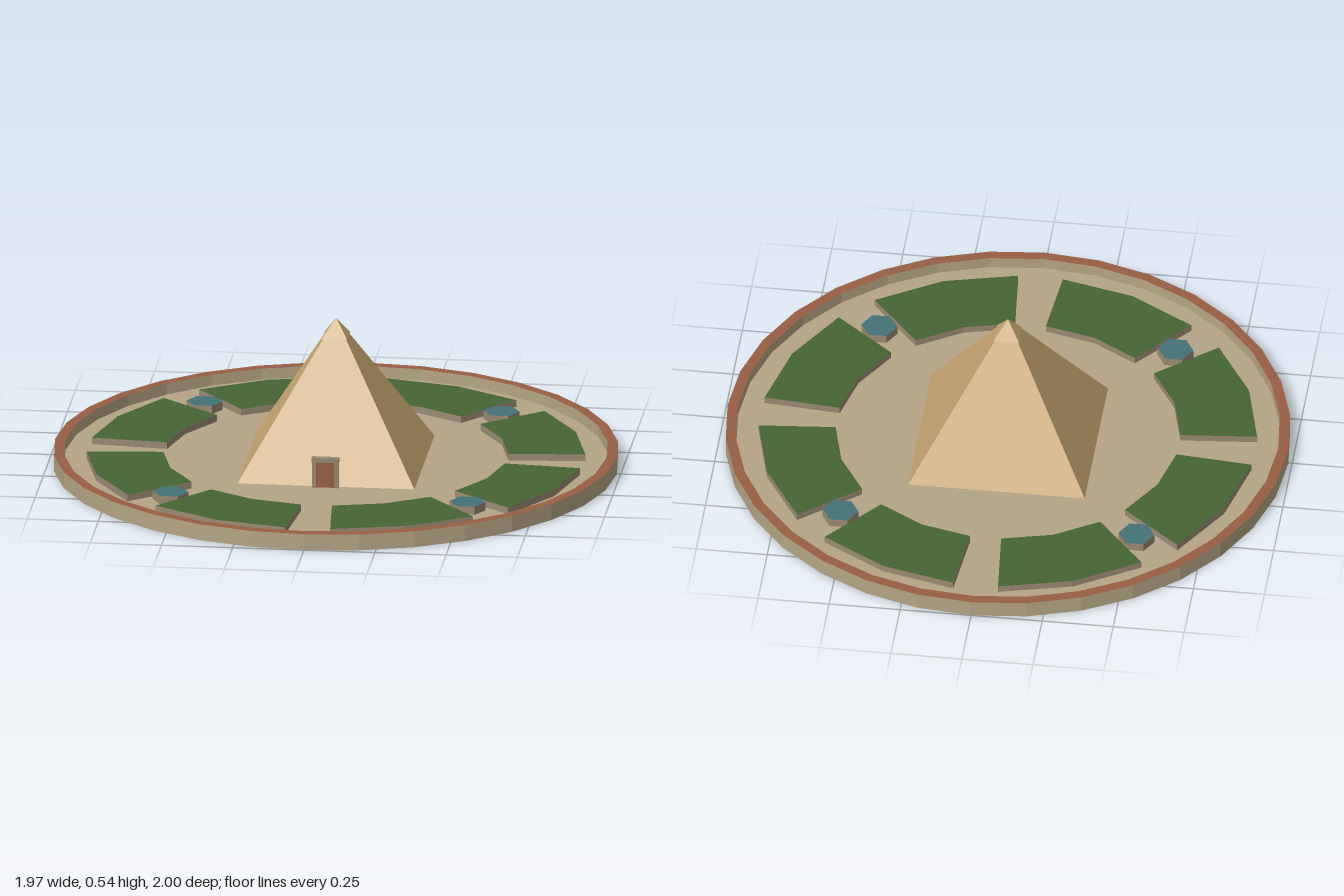
import * as THREE from 'three';

const paint = (name, color) => new THREE.MeshStandardMaterial({ name, color, flatShading: true });

export function createModel() {
  const sand = paint('sandstone', 0xc6a673);
  const wallStone = paint('wall stone', 0xb5a585);
  const paving = paint('paving', 0xb4a388);
  const brick = paint('brick', 0x995f45);
  const grass = paint('grass', 0x456536);
  const water = paint('water', 0x437278);
  const frameStone = paint('frame stone', 0x9c8a74);

  const model = new THREE.Group();
  model.name = 'pyramidGarden';
  model.scale.x = 0.987; // the plaza is very slightly oval

  const add = (name, geometry, material, x = 0, y = 0, z = 0) => {
    const mesh = new THREE.Mesh(geometry, material);
    mesh.name = name;
    mesh.position.set(x, y, z);
    model.add(mesh);
    return mesh;
  };

  const RIM = 0.058, FLOOR = 0.018, INNER = 0.963;

  // Round dish: underside with outer wall, brick coping, inner wall, paved floor
  const ring = (name, points, material) =>
    add(name, new THREE.LatheGeometry(points.map(p => new THREE.Vector2(...p)), 32), material);
  ring('outerWall', [[0, 0], [1, 0], [1, RIM]], wallStone);
  ring('coping', [[1, RIM], [INNER, RIM]], brick);
  ring('innerWall', [[INNER, RIM], [INNER, FLOOR]], wallStone);
  ring('floor', [[INNER, FLOOR], [0, FLOOR]], paving);

  // Square tapered blocks for the pyramid and its capstone
  const taper = (topHalf, bottomHalf, height) =>
    new THREE.CylinderGeometry(topHalf * Math.SQRT2, bottomHalf * Math.SQRT2, height, 4)
      .rotateY(Math.PI / 4).translate(0, height / 2, 0);
  add('pyramid', taper(0.039, 0.316, 0.458), sand, 0, FLOOR - 0.002, 0);
  add('capstone', taper(0, 0.045, 0.065), sand, 0, 0.472, 0);

  // Eight lawn beds: ring sectors, two on each quarter
  const bedShape = start => {
    const shape = new THREE.Shape();
    const point = (r, deg) => {
      const a = THREE.MathUtils.degToRad(deg);
      return new THREE.Vector2(r * Math.cos(a), r * Math.sin(a));
    };
    const angles = [start, start + 17.3, start + 34.6];
    shape.setFromPoints([
      ...angles.map(a => point(0.882, a)),
      ...angles.reverse().map(a => point(0.61, a)),
    ]);
    return shape;
  };
  for (let quarter = 0; quarter < 4; quarter++) {
    for (const start of [5.2, 50.2]) {
      const bed = new THREE.ExtrudeGeometry(bedShape(start + quarter * 90), { depth: 0.024, bevelEnabled: false });
      add('lawnBed', bed.rotateX(-Math.PI / 2), [grass, frameStone], 0, FLOOR, 0);
    }
  }

  // Four hexagonal pools on the diagonals
  for (const sx of [-1, 1]) {
    for (const sz of [-1, 1]) {
      const pool = new THREE.CylinderGeometry(0.064, 0.064, 0.03, 6).rotateY(Math.PI / 6);
      add('pool', pool, [frameStone, water, frameStone], sx * 0.528, FLOOR + 0.015, sz * 0.528);
    }
  }

  // Doorway standing before the front face
  for (const side of [-1, 1]) {
    add('doorPost', new THREE.BoxGeometry(0.015, 0.094, 0.014), frameStone, side * 0.04, FLOOR + 0.047, 0.328);
  }
  add('doorLintel', new THREE.BoxGeometry(0.097, 0.016, 0.022), frameStone, 0, 0.12, 0.328);
  add('door', new THREE.BoxGeometry(0.065, 0.094, 0.006), brick, 0, FLOOR + 0.047, 0.325);

  return model;
}
